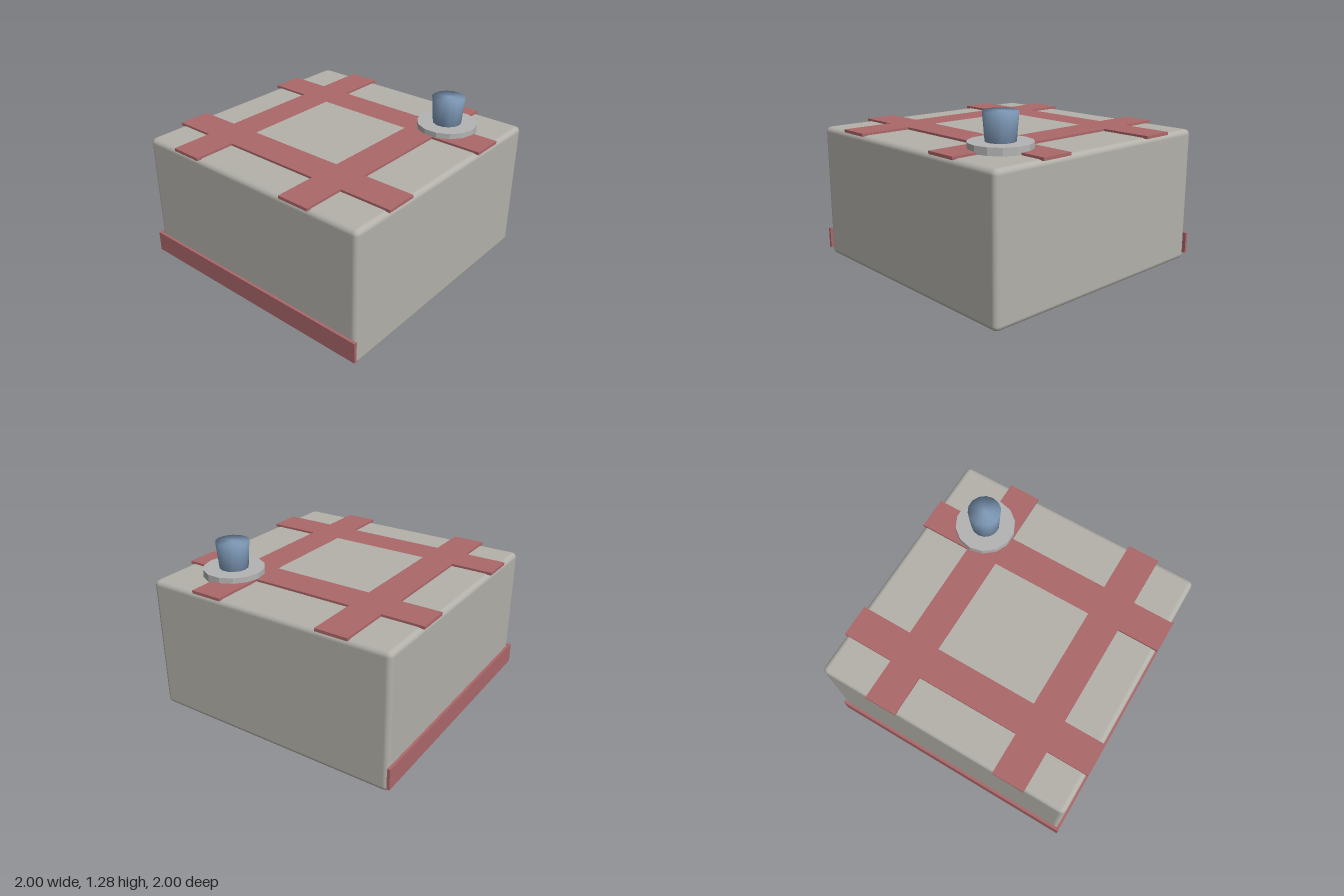
import * as THREE from 'three';
import { mergeVertices } from 'three/addons/utils/BufferGeometryUtils.js';
import { RoundedBoxGeometry } from 'three/addons/geometries/RoundedBoxGeometry.js';

const material = (color) => new THREE.MeshStandardMaterial({ color });

export function createModel() {
  const group = new THREE.Group();
  const stone = material(0xb3b1aa);
  const red = material(0xac686a);
  const grey = material(0xb4b4b4);
  grey.flatShading = true;
  const blue = material(0x7f9ab8);

  const add = (name, geometry, mat, x, y, z) => {
    const mesh = new THREE.Mesh(geometry, mat);
    mesh.name = name;
    mesh.position.set(x, y, z);
    group.add(mesh);
    return mesh;
  };

  // Block with softened edges
  add('body', new RoundedBoxGeometry(1.97, 1.025, 1.97, 2, 0.04), stone, 0.005, 0.515, 0.005);

  // Crossed bands on the lid: one outline walked around the four sides, open in the middle
  const a = -0.675, b = -0.43, c = 0.355, d = 0.6; // band edges
  const lo = -0.99, hi = 0.995; // band ends
  const outline = [
    [a, lo], [b, lo], [b, a], [c, a], [c, lo], [d, lo], [d, a],
    [hi, a], [hi, b], [d, b], [d, c], [hi, c], [hi, d], [d, d],
    [d, hi], [c, hi], [c, d], [b, d], [b, hi], [a, hi], [a, d],
    [lo, d], [lo, c], [a, c], [a, b], [lo, b], [lo, a], [a, a],
  ];
  const points = (list) => list.map(([x, z]) => new THREE.Vector2(x, -z));
  const shape = new THREE.Shape(points(outline));
  shape.holes.push(new THREE.Path(points([[b, b], [c, b], [c, c], [b, c]])));
  const bands = new THREE.ExtrudeGeometry(shape, { depth: 0.022, bevelEnabled: false });
  bands.rotateX(-Math.PI / 2);
  add('lidBands', bands, red, 0, 1.022, 0);

  // Low bands on the back and the x- side
  add('backBand', new THREE.BoxGeometry(2, 0.16, 0.022), red, 0, 0.127, -0.989);
  add('sideBand', new THREE.BoxGeometry(0.022, 0.16, 1.995), red, -0.989, 0.127, 0);

  // Round plate under the knob
  add('knobPlate', new THREE.CylinderGeometry(0.225, 0.225, 0.055, 14), grey, 0.58, 1.057, 0.58);

  // Tapered knob, shaded smoothly across its rims
  let knob = new THREE.CylinderGeometry(0.123, 0.106, 0.203, 14);
  knob.deleteAttribute('normal');
  knob.deleteAttribute('uv');
  knob = mergeVertices(knob);
  knob.computeVertexNormals();
  add('knob', knob, blue, 0.58, 1.183, 0.58);

  return group;
}
